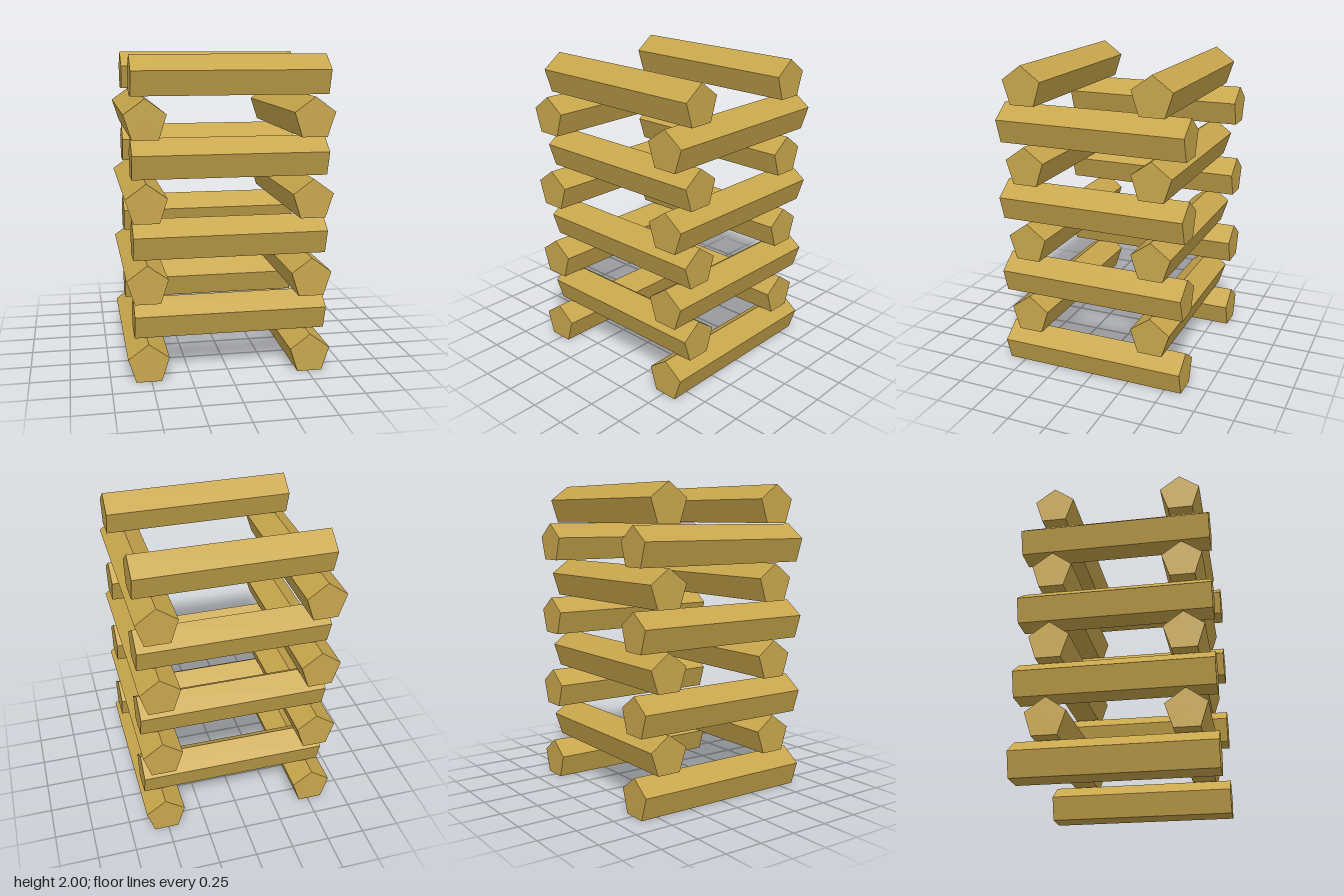
import * as THREE from 'three';

const RADIUS = 0.135;
const LENGTH = 1.223;
const LAYERS = 8;
const BOTTOM = RADIUS * Math.cos(Math.PI / 5); // log axis to its flat underside
const STEP = (2 - RADIUS - BOTTOM) / (LAYERS - 1);

export function createModel() {
  const model = new THREE.Group();
  model.name = 'logStack';
  const wood = new THREE.MeshStandardMaterial({ color: 0xc8a64c, flatShading: true });

  // Five-sided log lying along z, ridge up, and its copy lying along x
  const logZ = new THREE.CylinderGeometry(RADIUS, RADIUS, LENGTH, 5).rotateX(-Math.PI / 2);
  const logX = logZ.clone().rotateY(Math.PI / 2);

  const addLog = (parent, name, geometry, x, z) => {
    const log = new THREE.Mesh(geometry, wood);
    log.name = name;
    log.position.set(x, 0, z);
    parent.add(log);
  };

  // Pairs of logs, alternating direction from layer to layer
  for (let i = 0; i < LAYERS; i++) {
    const layer = new THREE.Group();
    layer.name = `layer${i + 1}`;
    layer.position.y = BOTTOM + i * STEP;
    if (i % 2 === 0) {
      addLog(layer, 'leftLog', logZ, 0.514, 0);
      addLog(layer, 'rightLog', logZ, -0.516, 0);
    } else {
      addLog(layer, 'frontLog', logX, 0.018, 0.43);
      addLog(layer, 'backLog', logX, 0.018, -0.41);
    }
    model.add(layer);
  }
  return model;
}
